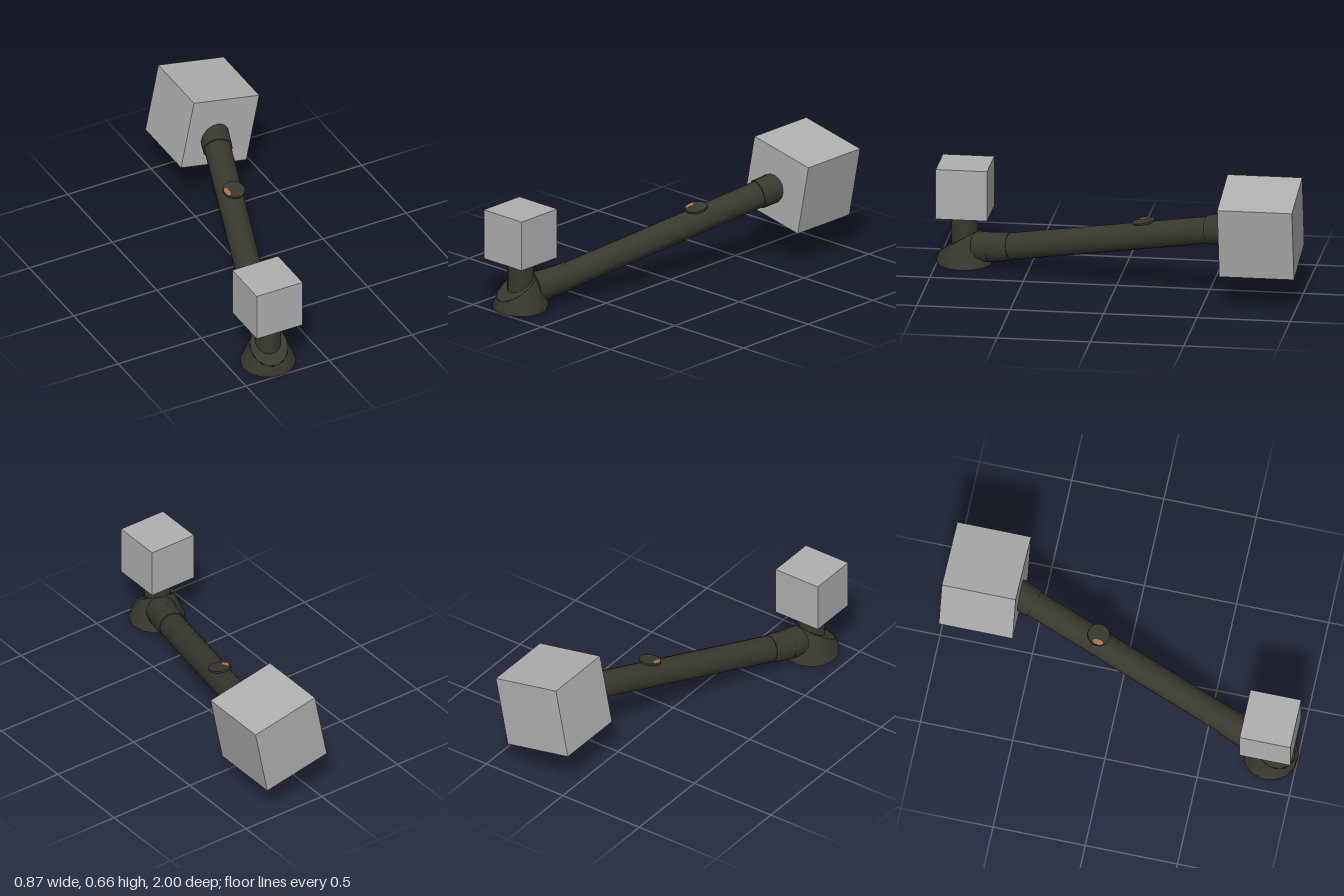
import * as THREE from 'three';

const V = (x, y, z) => new THREE.Vector3(x, y, z);
const UP = V(0, 1, 0);

// Point on the long tube's centre line at depth z
const axisAt = (z) => V(-0.2 + 0.311 * (0.59 - z), 0.128 + 0.225 * (0.59 - z), z);

export function createModel() {
  const group = new THREE.Group();
  const darkMetal = new THREE.MeshStandardMaterial({ name: 'dark metal', color: 0x3a392f, side: THREE.DoubleSide });
  const grey = new THREE.MeshStandardMaterial({ name: 'grey', color: 0xb0b0b0 });
  const tan = new THREE.MeshStandardMaterial({ name: 'tan', color: 0xa8754c });

  function add(name, geometry, material, parent = group) {
    const mesh = new THREE.Mesh(geometry, material);
    mesh.name = name;
    parent.add(mesh);
    return mesh;
  }

  // Straight round section running from a to b
  function rod(name, a, b, rA, rB, open = false) {
    const dir = b.clone().sub(a);
    const mesh = add(name, new THREE.CylinderGeometry(rB, rA, dir.length(), 14, 1, open), darkMetal);
    mesh.position.copy(a).add(b).multiplyScalar(0.5);
    mesh.quaternion.setFromUnitVectors(UP, dir.normalize());
    return mesh;
  }

  // Long sloping tube with its end collar
  rod('longTube', axisAt(0.62), axisAt(-0.62), 0.0725, 0.0725);
  rod('upperCollar', axisAt(-0.52), axisAt(-0.66), 0.08, 0.08);

  // Elbow joining the tube to the base
  const bend = V(-0.237, 0.107, 0.705);
  rod('lowerCollar', bend, axisAt(0.59), 0.081, 0.077);
  rod('elbow', V(-0.262, 0.1, 0.785), bend, 0.083, 0.081);

  // Hollow conical base, cut by a plane that rises towards the tube
  const base = new THREE.Group();
  base.name = 'base';
  base.position.set(-0.29, 0, 0.855);
  base.rotation.y = -0.3;
  group.add(base);
  const sides = 14;
  const skirt = new THREE.CylinderGeometry(1, 1, 1, sides, 2, true);
  const top = new THREE.CircleGeometry(1, sides).rotateX(-Math.PI / 2);
  const rimPoint = (c) => {
    const y = (0.14 - 0.097 * c) / (1 - 0.268 * c);
    return { y, r: 0.148 - 0.44 * (y - 0.025) };
  };
  const p = skirt.attributes.position;
  for (let i = 0; i < p.count; i++) {
    const x = p.getX(i), z = p.getZ(i), level = p.getY(i);
    const ring = level > 0.25 ? rimPoint(z) : { y: level > -0.25 ? 0.025 : 0, r: 0.148 };
    p.setXYZ(i, x * ring.r, ring.y, z * ring.r);
  }
  skirt.computeVertexNormals();
  const t = top.attributes.position;
  for (let i = 0; i < t.count; i++) {
    const x = t.getX(i), z = t.getZ(i);
    if (Math.hypot(x, z) < 0.5) t.setXYZ(i, 0, 0.14, 0);
    else {
      const { y, r } = rimPoint(z);
      t.setXYZ(i, x * r, y, z * r);
    }
  }
  top.computeVertexNormals();
  add('baseSkirt', skirt, darkMetal, base);
  add('baseTop', top, darkMetal, base);

  // Upright post with a chamfered top
  const px = -0.29, pz = 0.855;
  rod('post', V(px, 0.04, pz), V(px, 0.263, pz), 0.071, 0.071, true);
  rod('postChamfer', V(px, 0.263, pz), V(px, 0.275, pz), 0.071, 0.063);

  // Round button lying on the tube, tilted along it
  const button = new THREE.Group();
  button.name = 'button';
  button.position.set(0.043, 0.376, -0.15);
  const along = axisAt(-1).sub(axisAt(1)).normalize();
  const normal = UP.clone().addScaledVector(along, -along.y).normalize();
  normal.x += 0.06;
  button.quaternion.setFromUnitVectors(UP, normal.normalize());
  group.add(button);
  add('buttonDisc', new THREE.CylinderGeometry(0.06, 0.06, 0.01, 18), darkMetal, button);
  const spot = add('buttonSpot', new THREE.CylinderGeometry(0.03, 0.03, 0.003, 12), tan, button);
  spot.scale.x = 0.5;
  spot.position.set(-0.042, 0.005, 0.004);

  // Grey blocks at both ends
  const small = add('smallBlock', new THREE.BoxGeometry(0.275, 0.275, 0.275), grey);
  small.position.set(-0.292, 0.414, 0.853);
  const large = add('largeBlock', new THREE.BoxGeometry(0.4, 0.4, 0.4), grey);
  large.position.set(0.202, 0.4225, -0.8);
  large.rotation.z = -0.196;

  return group;
}
